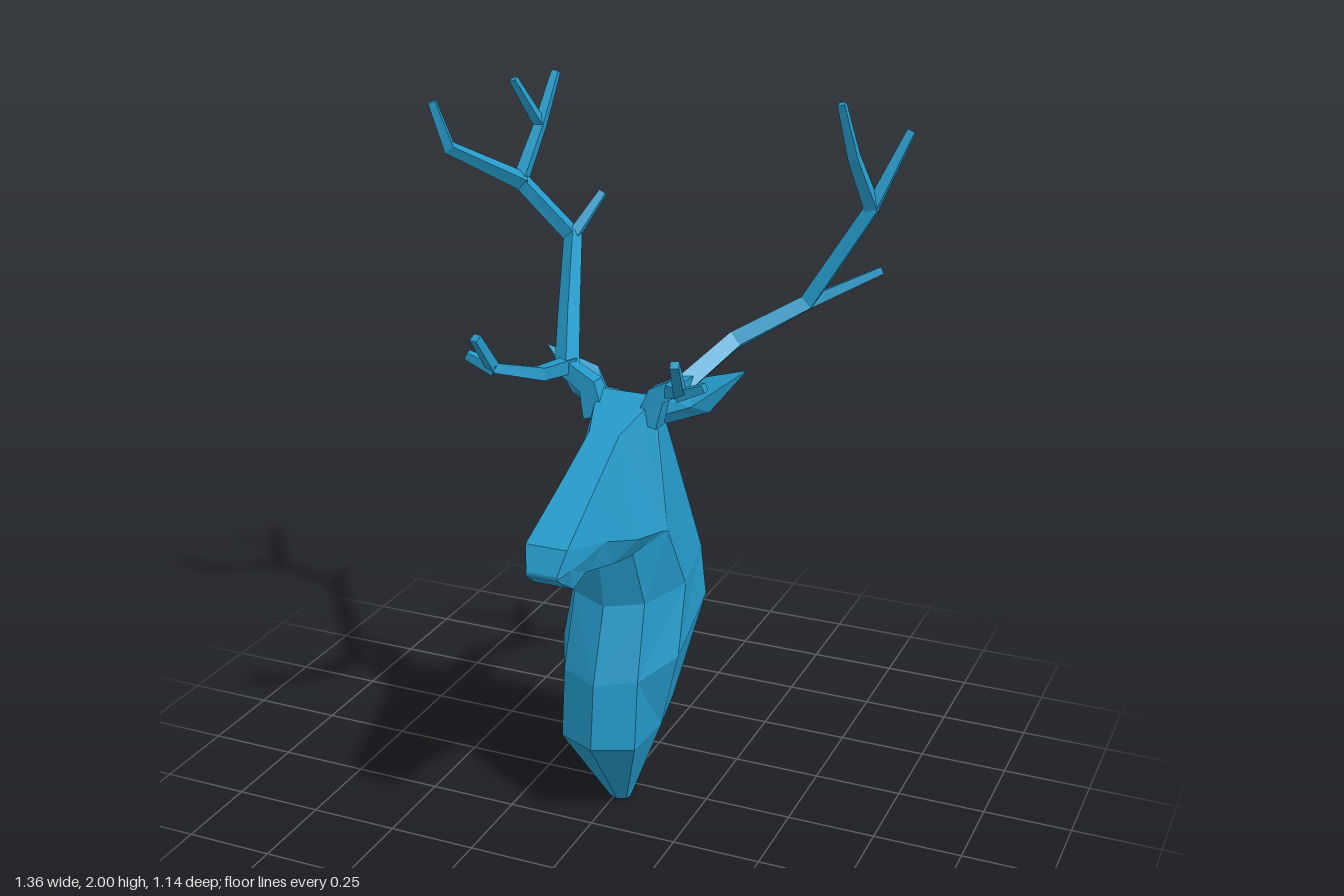
import * as THREE from 'three';

const hide = new THREE.MeshStandardMaterial({ color: 0x2599c8, flatShading: true });
hide.name = 'blue';

const AXIS = 0.013; // the symmetry plane of the head

// Skin closed rings (counter-clockwise about the direction of travel), with end caps.
// flip(i, j) picks the other diagonal for a quad.
function loft(name, rings, flip = () => false) {
  const pos = [];
  const tri = (...pts) => pts.forEach(p => pos.push(...p));
  const n = rings[0].length;
  for (let i = 0; i < rings.length - 1; i++) {
    for (let j = 0; j < n; j++) {
      const k = (j + 1) % n;
      const a = rings[i][j], b = rings[i][k], c = rings[i + 1][k], d = rings[i + 1][j];
      if (flip(i, j)) { tri(a, b, d); tri(b, c, d); }
      else { tri(a, b, c); tri(a, c, d); }
    }
  }
  const first = rings[0], last = rings[rings.length - 1];
  for (let j = 1; j < n - 1; j++) {
    tri(first[0], first[j + 1], first[j]);
    tri(last[0], last[j], last[j + 1]);
  }
  const geo = new THREE.BufferGeometry();
  geo.setAttribute('position', new THREE.Float32BufferAttribute(pos, 3));
  geo.computeVertexNormals();
  const mesh = new THREE.Mesh(geo, hide);
  mesh.name = name;
  return mesh;
}

const mirror = ([x, y, z]) => [-x, y, z];

// Square, tapering branch with mitred bends
function branch(name, path, r0, r1) {
  const pts = path.map(p => new THREE.Vector3(...p));
  const u = new THREE.Vector3(0, 0, 1);
  const rings = pts.map((p, i) => {
    const t = new THREE.Vector3();
    if (i > 0) t.add(p.clone().sub(pts[i - 1]).normalize());
    if (i < pts.length - 1) t.add(pts[i + 1].clone().sub(p).normalize());
    t.normalize();
    if (i === 0 && Math.abs(u.dot(t)) > 0.9) u.set(1, 0, 0);
    u.addScaledVector(t, -u.dot(t)).normalize();
    const v = t.clone().cross(u);
    const r = THREE.MathUtils.lerp(r0, r1, i / (pts.length - 1));
    return [0, 1, 2, 3].map(k => {
      const a = Math.PI / 4 + k * Math.PI / 2;
      return p.clone().addScaledVector(u, r * Math.cos(a)).addScaledVector(v, r * Math.sin(a)).toArray();
    });
  });
  return loft(name, rings);
}

function neck() {
  // front ridge, front corner, side, back corner, back ridge
  const halves = [
    [[0, 0, 0.1], [0.025, 0, 0.09], [0.03, 0, 0.07], [0.025, 0, 0.045], [0, 0, 0.04]],
    [[0, 0.25, 0.28], [0.11, 0.25, 0.23], [0.12, 0.25, 0.06], [0.09, 0.255, -0.1], [0, 0.25, -0.115]],
    [[0, 0.44, 0.26], [0.11, 0.45, 0.21], [0.175, 0.48, 0.075], [0.155, 0.56, -0.185], [0, 0.56, -0.205]],
    [[0, 0.65, 0.19], [0.105, 0.66, 0.15], [0.165, 0.67, 0], [0.14, 0.71, -0.18], [0, 0.72, -0.195]],
    [[0, 0.82, 0.22], [0.09, 0.83, 0.2], [0.155, 0.87, 0.11], [0.1, 1.02, -0.075], [0, 1.0, -0.105]],
    [[0, 1.19, 0.07], [0.05, 1.2, 0.06], [0.08, 1.215, 0.03], [0.075, 1.21, -0.01], [0, 1.2, -0.02]],
  ];
  const rings = halves.map(h => [...h, ...h.slice(1, 4).reverse().map(mirror)]);
  return loft('neck', rings, (i, j) => (j >= 4) !== (i === 1));
}

function head() {
  // jaw, brow and chin corners, from the crown to the nose
  const halves = [
    [[0.155, 0.87, 0.11], [0.075, 1.22, 0.03], [0.09, 0.825, 0.2]],
    [[0.147, 0.875, 0.13], [0.07, 1.19, 0.09], [0.09, 0.825, 0.21]],
    [[0.122, 0.89, 0.24], [0.043, 1.15, 0.18], [0.08, 0.838, 0.3]],
    [[0.09, 0.93, 0.37], [0.05, 1.055, 0.365], [0.06, 0.865, 0.43]],
    [[0.065, 0.91, 0.53], [0.058, 0.968, 0.54], [0.055, 0.845, 0.5]],
    [[0.045, 0.9, 0.57], [0.043, 0.905, 0.57], [0.045, 0.89, 0.565]],
  ];
  const rings = halves.map(([j, t, u]) => [j, t, mirror(t), mirror(j), mirror(u), u]);
  return loft('head', rings, (i, j) => j === 2 || j === 3);
}

function ear(name, side) {
  const base = [[0.08, 1.19, -0.035], [0.085, 1.15, -0.01], [0.09, 1.12, -0.03], [0.08, 1.15, -0.06]];
  const middle = [[0.14, 1.235, -0.095], [0.165, 1.18, -0.025], [0.205, 1.16, -0.06], [0.165, 1.19, -0.105]];
  const tip = [0.297, 1.28, -0.095];
  let rings = [base, middle, [tip, tip, tip, tip]];
  if (side < 0) rings = rings.map(r => r.map(mirror).reverse());
  return loft(name, rings);
}

// Stump and forward brow tine, alike on both sides
function antlerBase(side) {
  const at = pts => pts.map(([x, y, z]) => [x * side, y, z]);
  const parts = [
    branch('antlerStump', at([[0.075, 1.15, 0.05], [0.1, 1.23, 0.045], [0.18, 1.275, 0.04]]), 0.045, 0.03),
    branch('browTine', at([[0.172, 1.27, 0.02], [0.187, 1.29, 0.175], [0.262, 1.335, 0.3], [0.275, 1.435, 0.37]]), 0.028, 0.016),
    branch('browProng', at([[0.255, 1.33, 0.3], [0.332, 1.365, 0.31]]), 0.02, 0.015),
  ];
  parts.forEach(p => { p.position.x = AXIS; });
  return parts;
}

export function createModel() {
  const model = new THREE.Group();
  model.name = 'stagBust';

  const bust = new THREE.Group();
  bust.name = 'bust';
  bust.position.x = AXIS;
  bust.add(neck(), head(), ear('leftEar', 1), ear('rightEar', -1));

  // The two antlers branch differently
  const leftAntler = new THREE.Group();
  leftAntler.name = 'leftAntler';
  leftAntler.add(
    ...antlerBase(1),
    branch('mainBeam', [[0.18, 1.265, 0.05], [0.255, 1.345, -0.135], [0.425, 1.445, -0.235], [0.585, 1.715, -0.275]], 0.034, 0.025),
    branch('innerTip', [[0.585, 1.705, -0.275], [0.545, 1.85, -0.22], [0.518, 1.997, -0.18]], 0.025, 0.014),
    branch('outerTip', [[0.58, 1.705, -0.27], [0.662, 1.91, -0.335]], 0.023, 0.015),
    branch('sideTine', [[0.42, 1.44, -0.235], [0.602, 1.53, -0.33]], 0.022, 0.014),
  );

  const rightAntler = new THREE.Group();
  rightAntler.name = 'rightAntler';
  rightAntler.add(
    ...antlerBase(-1),
    branch('mainBeam', [[-0.155, 1.265, 0.05], [-0.235, 1.35, -0.135], [-0.325, 1.52, -0.36], [-0.495, 1.665, -0.37]], 0.034, 0.026),
    branch('outerTip', [[-0.485, 1.66, -0.37], [-0.63, 1.78, -0.2], [-0.67, 1.91, -0.182]], 0.028, 0.015),
    branch('backTip', [[-0.495, 1.655, -0.365], [-0.475, 1.81, -0.47], [-0.467, 1.945, -0.56]], 0.025, 0.015),
    branch('backProng', [[-0.475, 1.805, -0.47], [-0.528, 1.945, -0.405]], 0.02, 0.014),
    branch('sideTine', [[-0.325, 1.515, -0.355], [-0.265, 1.635, -0.438]], 0.022, 0.015),
  );

  model.add(bust, leftAntler, rightAntler);
  return model;
}
